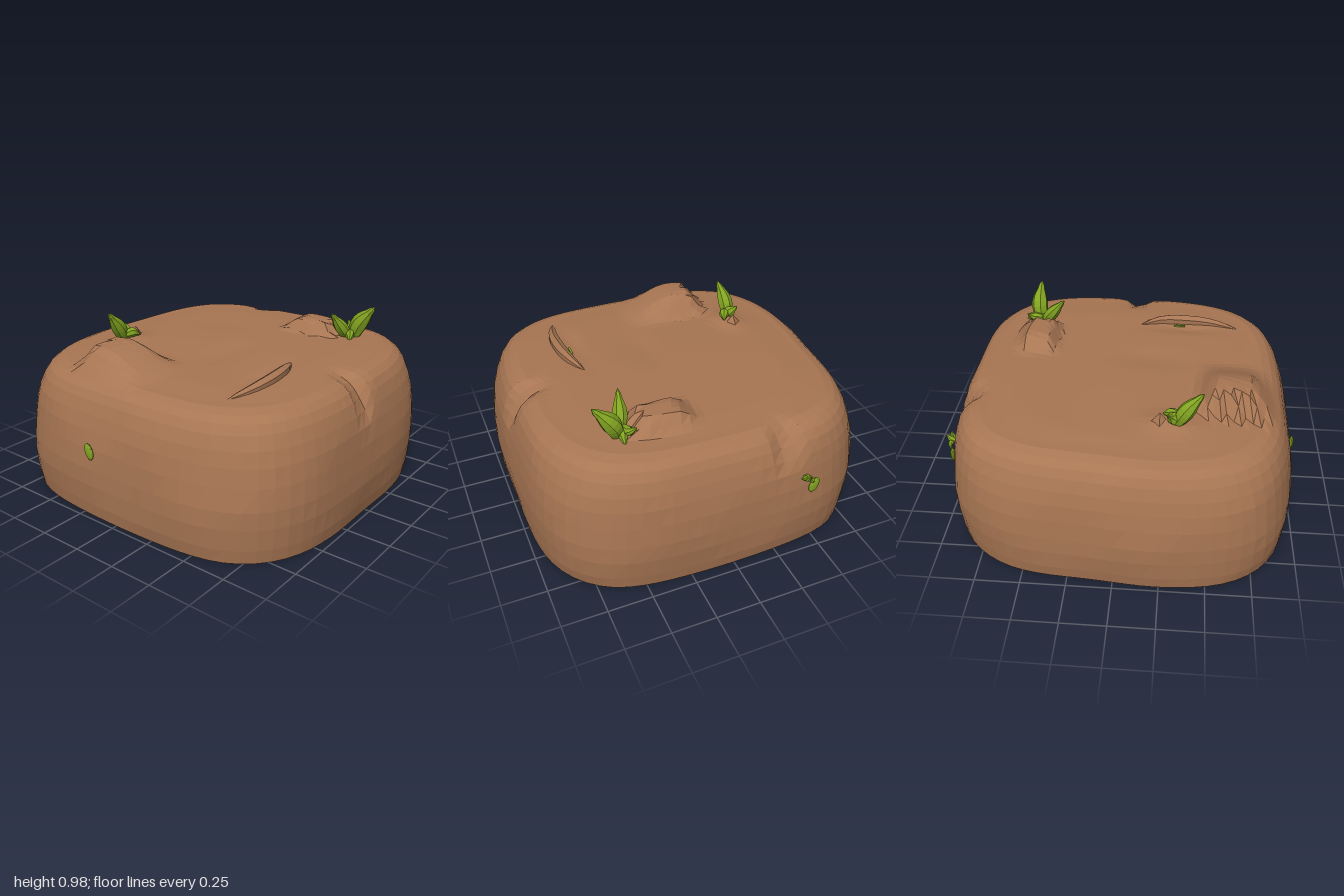
import * as THREE from 'three';

const smooth = THREE.MathUtils.smoothstep;
// 0 outside a..d, 1 between b and c, eased in between
const plateau = (v, a, b, c, d) => smooth(v, a, b) * (1 - smooth(v, c, d));
const bell = (v, c, w) => Math.exp(-(((v - c) / w) ** 2));

// Lumps and hollows of the top surface
function relief(x, z) {
  return 0.125 * plateau(x, -0.86, -0.7, -0.54, -0.38) * plateau(z, -0.46, -0.37, -0.28, 0.1)
    + 0.075 * plateau(x, 0.41, 0.49, 0.61, 0.69) * plateau(z, 0.06, 0.2, 0.38, 0.45)
    + 0.035 * bell(x, -0.28, 0.12) * bell(z, -0.52, 0.08)
    + 0.012 * bell(x, 0, 0.3) * bell(z, -0.1, 0.5)
    - 0.012 * bell(x, -0.15, 0.2) * bell(z, 0.1, 0.1)
    - 0.015 * bell(x, -0.35, 0.2) * bell(z, 0.47, 0.05);
}

// Hollow soil block: rounded-square rings up the wall and in across the top
function soilGeometry() {
  const rings = [[0.957, 0], [0.97, 0.08], [0.98, 0.2], [0.98, 0.3], [0.97, 0.42], [0.956, 0.52],
    [0.937, 0.6], [0.912, 0.67], [0.885, 0.715], [0.85, 0.745], [0.8, 0.762]];
  const inner = 18, sides = 88, n = 3.5;
  for (let i = 1; i <= inner; i++) rings.push([0.8 * (1 - i / inner), 0.762 + 0.012 * smooth(i, 0, 5)]);

  const pos = [], index = [];
  rings.forEach(([k, h], i) => {
    for (let j = 0; j < sides; j++) {
      const a = (j / sides) * Math.PI * 2, c = Math.cos(a), s = Math.sin(a);
      const r = k / (Math.abs(c) ** n + Math.abs(s) ** n) ** (1 / n);
      let x = r * c - 0.01 + 0.02 * (h - 0.2) * k;
      let z = r * s * 1.02;
      let y = h * (1 + 0.02 * x + 0.012 * z);
      if (i > 8) y += relief(x, z);
      // slightly pulled-in back corner
      if (z < 0) z += 0.035 * smooth(x, -0.2, 0.3) * smooth(-z, 0.5, 0.9);
      // creases in the front and side rims
      const front = bell(x, -0.02, 0.06) * smooth(z, 0.68, 0.85) * smooth(h, 0.48, 0.72);
      const side = bell(z, -0.3, 0.07) * smooth(x, 0.72, 0.88) * smooth(h, 0.48, 0.72);
      z -= 0.05 * front;
      x -= 0.04 * side;
      y -= 0.03 * (front + side);
      // faint unevenness of the wall
      const w = 0.006 * Math.sin(3 * a + 7 * h) * Math.sin(5 * a - 4 * h) * smooth(k, 0.7, 0.9);
      pos.push(x - c * Math.abs(w), y, z - s * Math.abs(w));
    }
  });
  for (let i = 0; i < rings.length - 1; i++) {
    for (let j = 0; j < sides; j++) {
      const p = i * sides + j, q = i * sides + (j + 1) % sides;
      index.push(p, p + sides, q);
      if (i < rings.length - 2) index.push(q, p + sides, q + sides);
    }
  }
  const g = new THREE.BufferGeometry();
  g.setAttribute('position', new THREE.Float32BufferAttribute(pos, 3));
  g.setIndex(index);
  g.computeVertexNormals();
  return g;
}

// Tube along points whose radius follows a rule of t from 0 to 1
function taperedTube(points, radius, sides = 7, seg = 9) {
  const curve = new THREE.CatmullRomCurve3(points.map(p => new THREE.Vector3(...p)));
  const g = new THREE.TubeGeometry(curve, seg, 1, sides);
  const p = g.attributes.position, v = new THREE.Vector3();
  for (let i = 0; i < p.count; i++) {
    const t = Math.floor(i / (sides + 1)) / seg, c = curve.getPointAt(t);
    v.fromBufferAttribute(p, i).sub(c).multiplyScalar(radius(t)).add(c);
    p.setXYZ(i, v.x, v.y, v.z);
  }
  g.computeVertexNormals();
  return g;
}

export function createModel() {
  const soil = new THREE.MeshStandardMaterial({ color: 0xa87653, flatShading: true, side: THREE.DoubleSide });
  soil.name = 'soilBrown';
  const green = new THREE.MeshStandardMaterial({ color: 0x82a421, flatShading: true, side: THREE.DoubleSide });
  green.name = 'sproutGreen';

  const model = new THREE.Group();
  model.name = 'soilBlock';
  const add = (name, geometry, material, parent = model) => {
    const mesh = new THREE.Mesh(geometry, material);
    mesh.name = name;
    parent.add(mesh);
    return mesh;
  };

  add('soilShell', soilGeometry(), soil);

  // Crescent ridge near the front
  add('soilRidge', taperedTube(
    [[-0.66, 0.755, 0.51], [-0.5, 0.772, 0.55], [-0.33, 0.782, 0.555], [-0.18, 0.79, 0.535], [-0.06, 0.775, 0.49]],
    t => 0.004 + 0.032 * Math.sin(Math.PI * t) ** 0.7, 6, 10), soil);

  // Crumb of soil beside the rear sprout
  const crumb = add('soilCrumb', new THREE.ConeGeometry(0.05, 0.06, 4), soil);
  crumb.position.set(-0.22, 0.81, -0.53);

  // Leaves: swollen in the middle, pointed at the tip
  const leafRadius = w => t => w * (0.55 + 0.45 * Math.sin(Math.PI * Math.min(1, t * 1.25))) * Math.sqrt(Math.max(0, 1 - t ** 4)) + 0.001;
  const sprout = (name, leaves) => {
    const group = new THREE.Group();
    group.name = name;
    model.add(group);
    for (const [width, ...points] of leaves) add('leaf', taperedTube(points, leafRadius(width)), green, group);
  };
  sprout('frontSprout', [
    [0.052, [0.58, 0.77, 0.52], [0.595, 0.86, 0.55], [0.59, 0.98, 0.65]],
    [0.04, [0.56, 0.77, 0.5], [0.5, 0.85, 0.475], [0.42, 0.945, 0.455]],
    [0.03, [0.55, 0.8, 0.5], [0.6, 0.8, 0.5], [0.675, 0.775, 0.51]],
    [0.03, [0.57, 0.8, 0.49], [0.52, 0.8, 0.53], [0.48, 0.775, 0.55]],
    [0.026, [0.57, 0.81, 0.48], [0.63, 0.82, 0.47], [0.655, 0.85, 0.44]],
  ]);
  sprout('rearSprout', [
    [0.045, [-0.31, 0.78, -0.54], [-0.36, 0.87, -0.54], [-0.445, 0.97, -0.525]],
    [0.035, [-0.32, 0.79, -0.53], [-0.285, 0.83, -0.55], [-0.27, 0.86, -0.585]],
    [0.03, [-0.32, 0.81, -0.52], [-0.28, 0.82, -0.5], [-0.235, 0.8, -0.48]],
  ]);
  sprout('sideSprout', [
    [0.02, [0.94, 0.48, -0.4], [0.965, 0.49, -0.4], [0.995, 0.515, -0.395]],
    [0.014, [0.95, 0.49, -0.4], [0.97, 0.5, -0.37], [0.975, 0.51, -0.35]],
    [0.014, [0.95, 0.49, -0.4], [0.97, 0.475, -0.42], [0.965, 0.45, -0.44]],
  ]);

  // Buried shoots showing through the soil
  const shoots = [[0.955, 0.42, -0.45, 0.05, 0.03], [-0.985, 0.4, -0.16, 0.05, 0.03]];
  for (const [x, y, z, h, w] of shoots) {
    const shoot = add('buriedShoot', new THREE.IcosahedronGeometry(1, 1), green);
    shoot.scale.set(0.012, h, w);
    shoot.position.set(x, y, z);
    shoot.rotation.x = -0.3;
  }
  const sliver = add('buriedSliver', new THREE.BoxGeometry(0.07, 0.008, 0.012), green);
  sliver.position.set(-0.3, 0.772, 0.5);

  return model;
}
